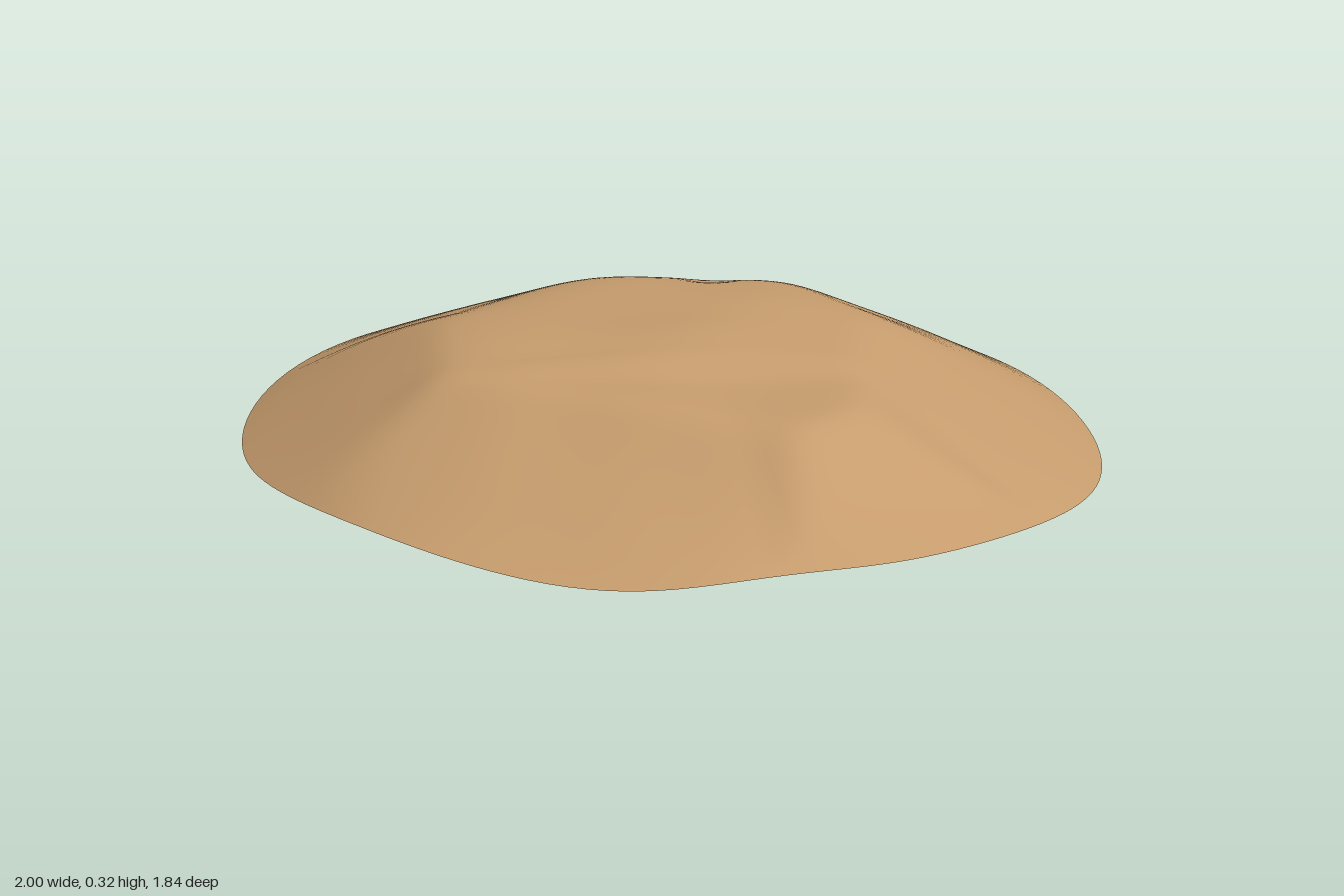
import * as THREE from 'three';

const RINGS = 56, SEGS = 128;

// Sloping flank: falls away from height h0 once past distance d0 along (nx, nz)
const flanks = [
  { nx: 0.40, nz: 0.92, d0: 0.46, h0: 0.305, slope: 0.62 },    // front right
  { nx: -0.62, nz: 0.79, d0: 0.57, h0: 0.275, slope: 0.61 },   // front left
  { nx: -1, nz: 0, d0: 0.42, h0: 0.32, slope: 0.42 },          // right-hand side
  { nx: -0.71, nz: -0.71, d0: 0.45, h0: 0.30, slope: 0.47 },   // back right
  { nx: 0, nz: -1, d0: 0.40, h0: 0.34, slope: 0.51 },          // back
  { nx: 0.71, nz: -0.71, d0: 0.52, h0: 0.285, slope: 0.56 },   // back left
  { nx: 1, nz: 0, d0: 0.70, h0: 0.295, slope: 0.68 },          // left-hand side
  { nx: 1, nz: 0, d0: 0.90, h0: 0.15, slope: 1.1 },            // left-hand edge
];

const bump = (x, z, cx, cz, r) => Math.exp(-((x - cx) ** 2 + (z - cz) ** 2) / (r * r));
const lobe = (a, centre, k) => Math.exp((Math.cos(a - centre) - 1) * k);
const smooth = THREE.MathUtils.smoothstep;

// Position across and along the diagonal fold
const acrossFold = (x, z) => (x + 0.18) * 0.77 + (z - 0.58) * 0.63;
const alongFold = (x, z) => (x + 0.18) * 0.63 - (z - 0.58) * 0.77;

// Draped height before it is fitted to the rim
function drape(x, z) {
  // Shallow crown, stepping down to a level shoulder across the fold
  const dome = 0.349 - 0.08 * (Math.sqrt((x - 0.08) ** 2 + (z + 0.07) ** 2 + 0.01) - 0.1);
  const crown = THREE.MathUtils.lerp(dome, 0.31, smooth(acrossFold(x, z), -0.05, 0.12));
  // Soft minimum of the crown and all flanks
  const k = 80;
  let sum = Math.exp(-k * crown);
  for (const f of flanks) {
    sum += Math.exp(-k * (f.h0 - f.slope * (f.nx * x + f.nz * z - f.d0)));
  }
  return -Math.log(sum) / k + 0.005;
}

// Small wrinkles and dents of the cloth
function wrinkles(x, z) {
  const along = alongFold(x, z);
  const fold = Math.exp(-((acrossFold(x, z) / 0.05) ** 2))
    * smooth(along, -0.05, 0.1) * (1 - smooth(along, 0.8, 1.1));
  return 0.003 * fold
    + 0.006 * bump(x, z, -0.17, 0.57, 0.08)
    - 0.010 * bump(x, z, -0.25, -0.33, 0.05)
    - 0.005 * bump(x, z, 0.65, -0.45, 0.10)
    + 0.0015 * Math.sin(17 * z + 4 * x + 2 * Math.sin(5 * x))
    + 0.0015 * Math.sin(13 * x - 9 * z + Math.sin(6 * z));
}

// Slightly squared oval outline, fuller at the front left corner
function rimRadius(a) {
  const c = Math.abs(Math.cos(a)), s = Math.abs(Math.sin(a)), n = 2.1;
  return Math.pow(c ** n + (s / 0.92) ** n, -1 / n)
    + 0.04 * lobe(a, 0.74, 12) + 0.012 * lobe(a, 3.93, 14) - 0.008 * lobe(a, 2.36, 14);
}

// Hem sags at the four corners and lifts in one place
const rimHeight = a => 0.07 - (0.028 - 0.006 * Math.sin(2 * a)) * Math.sin(2 * a) ** 2
  + 0.03 * lobe(a, 0.46, 25);

function clothGeometry() {
  const points = [], index = [];
  for (let i = 0; i <= RINGS; i++) {
    const t = i / RINGS;
    for (let j = 0; j < SEGS; j++) {
      const a = (j / SEGS) * Math.PI * 2, r = rimRadius(a);
      const ex = r * Math.cos(a), ez = r * Math.sin(a);
      const x = ex * t, z = ez * t;
      const fit = (rimHeight(a) - drape(ex, ez)) * t ** 4;
      points.push(x, drape(x, z) + fit + wrinkles(x, z) * (1 - t ** 4), z);
      if (i < RINGS) {
        const k = (j + 1) % SEGS, p = i * SEGS, q = p + SEGS;
        index.push(p + j, q + k, q + j);
        if (i > 0) index.push(p + j, p + k, q + k);
      }
    }
  }
  const geometry = new THREE.BufferGeometry();
  geometry.setAttribute('position', new THREE.Float32BufferAttribute(points, 3));
  geometry.setIndex(index);
  geometry.computeVertexNormals();
  return geometry;
}

export function createModel() {
  const group = new THREE.Group();
  group.name = 'drapedShell';
  const tan = new THREE.MeshStandardMaterial({ color: 0xc69c6d, side: THREE.DoubleSide });
  tan.name = 'tan';
  const cloth = new THREE.Mesh(clothGeometry(), tan);
  cloth.name = 'domedCover';
  group.add(cloth);
  return group;
}
